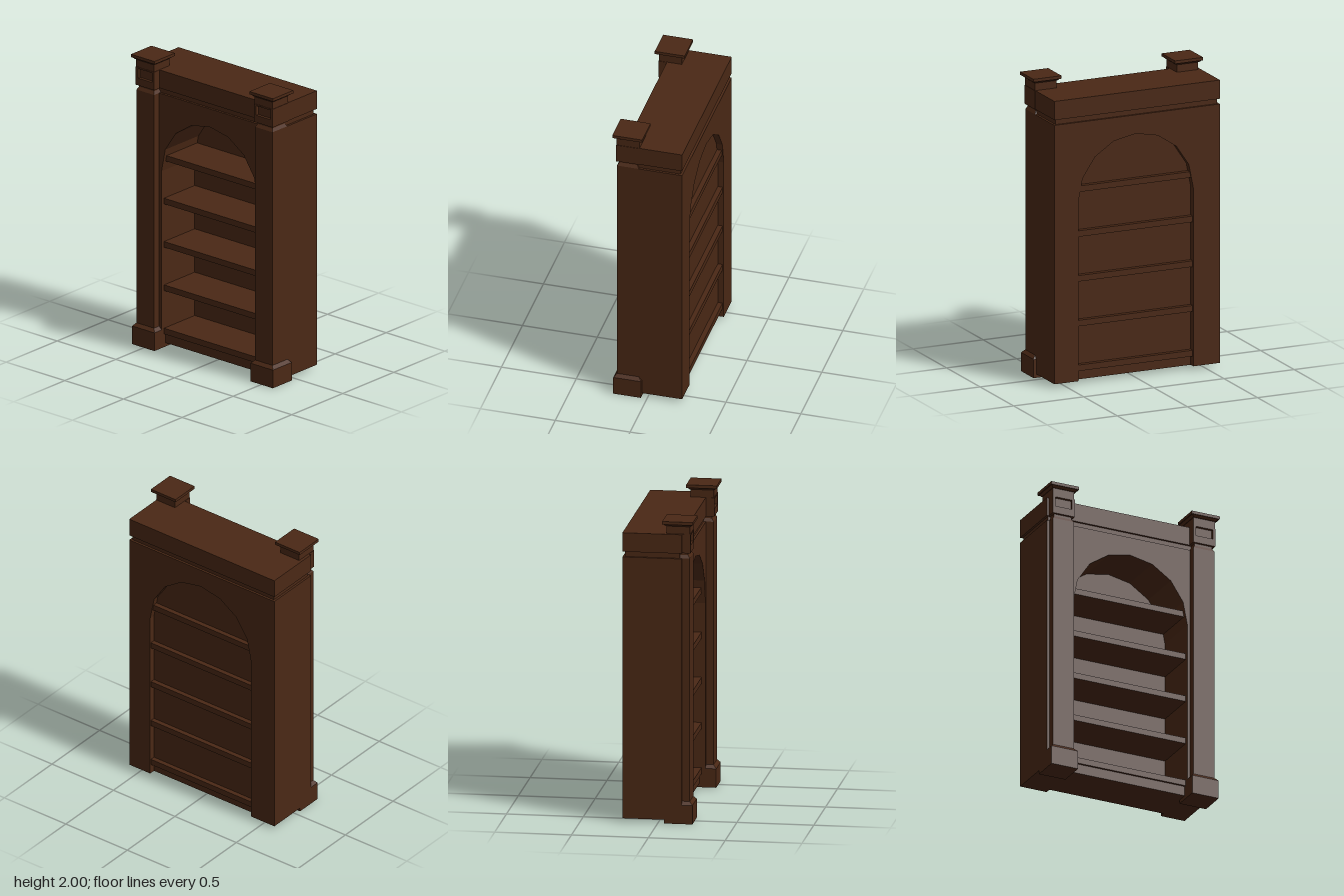
import * as THREE from 'three';

const wood = new THREE.MeshStandardMaterial({ color: 0x4a2815, flatShading: true });

function add(parent, name, geometry) {
  const mesh = new THREE.Mesh(geometry, wood);
  mesh.name = name;
  parent.add(mesh);
  return mesh;
}

// Box given by its lower and upper limits on each axis
function box(parent, name, x0, x1, y0, y1, z0, z1) {
  const mesh = add(parent, name, new THREE.BoxGeometry(x1 - x0, y1 - y0, z1 - z0));
  mesh.position.set((x0 + x1) / 2, (y0 + y1) / 2, (z0 + z1) / 2);
  return mesh;
}

// Same box with its top or bottom end drawn in (or out) by an inset
function taperedBox(parent, name, x0, x1, y0, y1, z0, z1, topInset) {
  const mesh = box(parent, name, x0, x1, y0, y1, z0, z1);
  const p = mesh.geometry.attributes.position;
  for (let i = 0; i < p.count; i++) {
    if (p.getY(i) < 0) continue;
    p.setX(i, p.getX(i) - Math.sign(p.getX(i)) * topInset);
    p.setZ(i, p.getZ(i) - Math.sign(p.getZ(i)) * topInset);
  }
  mesh.geometry.computeVertexNormals();
  return mesh;
}

function rectPath(Type, x0, x1, y0, y1) {
  return new Type([[x0, y0], [x1, y0], [x1, y1], [x0, y1]].map(([x, y]) => new THREE.Vector2(x, y)));
}

// Column with plinth, shaft, panelled block and cap, centred on its own x
function makePilaster(name) {
  const g = new THREE.Group();
  g.name = name;
  box(g, 'plinth', -0.095, 0.095, 0, 0.125, 0.04, 0.225);
  taperedBox(g, 'plinthBevel', -0.095, 0.095, 0.125, 0.147, 0.04, 0.225, 0.02);
  box(g, 'shaft', -0.075, 0.075, 0.14, 1.755, 0.06, 0.205);
  taperedBox(g, 'shaftTop', -0.075, 0.075, 1.755, 1.775, 0.06, 0.205, 0.012);
  box(g, 'neck', -0.063, 0.063, 1.775, 1.79, 0.07, 0.193);

  // Block with a sunken square panel on its front
  const face = rectPath(THREE.Shape, -0.079, 0.079, 1.79, 1.915);
  face.holes.push(rectPath(THREE.Path, -0.06, 0.06, 1.84, 1.905));
  const frame = add(g, 'blockFrame', new THREE.ExtrudeGeometry(face, { depth: 0.02, bevelEnabled: false }));
  frame.position.z = 0.19;
  box(g, 'block', -0.079, 0.079, 1.79, 1.915, 0.055, 0.19);
  box(g, 'upperBlock', -0.076, 0.076, 1.915, 1.968, 0.055, 0.207);
  taperedBox(g, 'capBevel', -0.08, 0.08, 1.966, 1.98, 0.05, 0.212, -0.014);
  box(g, 'cap', -0.1, 0.1, 1.98, 2, 0.03, 0.23);
  return g;
}

export function createModel() {
  const model = new THREE.Group();
  model.name = 'bookcase';
  const left = -0.6, right = 0.58, back = -0.23, front = 0.155;
  const bottom = 0.025, bodyTop = 1.755, half = 0.41, spring = 1.22;

  // Carcass with an arched opening running right through
  const outline = [[left, bottom], [-half, bottom]];
  for (let i = 0; i <= 8; i++) {
    const a = Math.PI * (1 - i / 8);
    outline.push([half * Math.cos(a), spring + half * Math.sin(a)]);
  }
  outline.push([half, bottom], [right, bottom], [right, bodyTop], [left, bodyTop]);
  const shape = new THREE.Shape(outline.map(([x, y]) => new THREE.Vector2(x, y)));
  const carcass = add(model, 'carcass',
    new THREE.ExtrudeGeometry(shape, { depth: front - back, bevelEnabled: false }));
  carcass.position.z = back;

  // Back panel, set in from the rear
  box(model, 'backPanel', -half - 0.01, half + 0.01, bottom + 0.002, 1.66, -0.19, -0.17);

  // Shelves and the kickboard below the lowest one
  for (let i = 0; i < 5; i++) {
    const y = 0.09 + i * 0.299;
    box(model, 'shelf', -half, half, y, y + 0.04, back + 0.008, 0.13);
  }
  box(model, 'kickboard', -half, half, bottom, 0.09, -0.19, 0.115);

  // Recessed band and cornice
  box(model, 'band', left + 0.015, right - 0.015, bodyTop, 1.79, back + 0.015, front - 0.015);
  box(model, 'cornice', left, right, 1.79, 1.915, back, front);

  for (const side of [-1, 1]) {
    const pilaster = makePilaster(side > 0 ? 'leftPilaster' : 'rightPilaster');
    pilaster.position.x = side * 0.505;
    model.add(pilaster);
  }
  return model;
}
